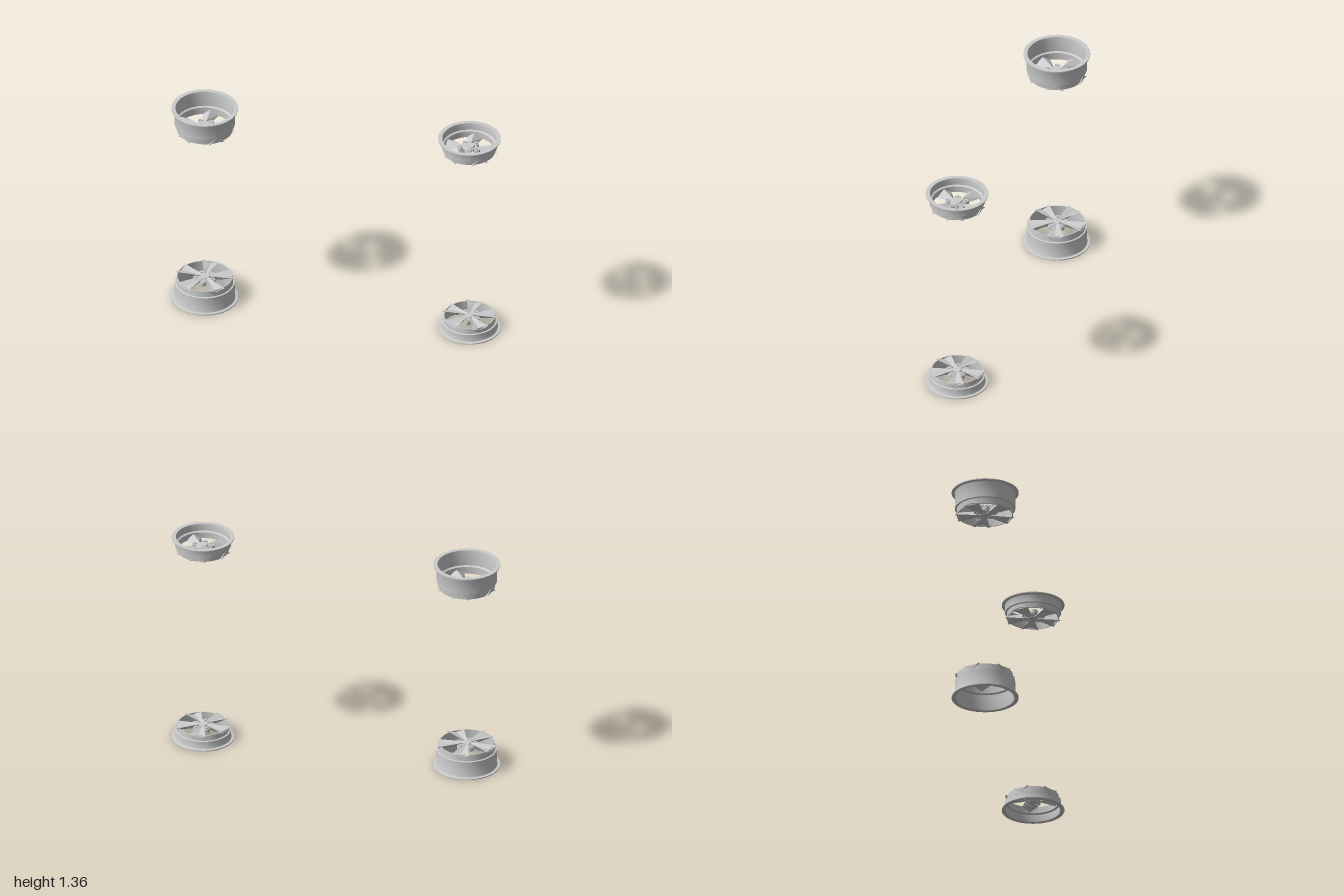
import * as THREE from 'three';
import { toCreasedNormals } from 'three/addons/utils/BufferGeometryUtils.js';

const grey = new THREE.MeshStandardMaterial({ color: 0xcccccc, side: THREE.DoubleSide });
const SPOKES = 5;

function part(name, geometry, x = 0, y = 0, z = 0) {
  const mesh = new THREE.Mesh(geometry, grey);
  mesh.name = name;
  mesh.position.set(x, y, z);
  return mesh;
}

// Thin-walled stepped rim with an outward flange at y = 0
function rimGeometry(R, step, h) {
  const wall = R - 0.02, neck = R - 0.03;
  const profile = [
    [wall - 0.005, 0], [R, 0], [R, 0.006], [wall + 0.003, 0.008], [wall, 0.014],
    [wall, step], [neck, step + 0.002], [neck - 0.003, h - 0.002],
    [neck - 0.008, h - 0.002], [neck - 0.008, step - 0.004],
    [wall - 0.007, step - 0.01], [wall - 0.007, 0.014], [wall - 0.005, 0],
  ].map(([r, y]) => new THREE.Vector2(r, y));
  return toCreasedNormals(new THREE.LatheGeometry(profile, 64), 0.5);
}

// Fan-shaped spoke along +z: shallow groove in front, deep V ridge behind
function spokeGeometry(outer, h) {
  const stations = [
    // radius, half width, groove, ridge depth
    [0.02, 0.012, 0.006, 0.026],
    [0.06, 0.021, 0.008, 0.03],
    [outer, 0.053, 0.012, 0.036],
  ];
  const pos = [], idx = [];
  for (const [r, w, groove, ridge] of stations) {
    pos.push(-w, h, r, 0, h - groove, r, w, h, r, 0, h - ridge, r);
  }
  for (let s = 0; s < stations.length - 1; s++) {
    for (let i = 0; i < 4; i++) {
      const a = s * 4 + i, b = s * 4 + (i + 1) % 4;
      idx.push(a, a + 4, b, b, a + 4, b + 4);
    }
  }
  const e = (stations.length - 1) * 4;
  idx.push(e + 3, e + 2, e + 1, e + 3, e + 1, e, 0, 1, 2 + 1, 1, 2, 3);
  const g = new THREE.BufferGeometry();
  g.setAttribute('position', new THREE.Float32BufferAttribute(pos, 3));
  g.setIndex(idx);
  const flat = g.toNonIndexed();
  flat.computeVertexNormals();
  return flat;
}

// One wheel lying on its flange, with the spoked face upwards
function createWheel(R, step, h) {
  const wheel = new THREE.Group();
  wheel.add(part('rim', rimGeometry(R, step, h)));

  const spoke = spokeGeometry(R - 0.028, h);
  const boss = new THREE.CylinderGeometry(0.019, 0.019, 0.022, 20);
  const ring = new THREE.TorusGeometry(0.015, 0.003, 8, 20).rotateX(Math.PI / 2);
  const nut = new THREE.CylinderGeometry(0.008, 0.008, 0.034, 6);
  for (let i = 0; i < SPOKES; i++) {
    const angle = (i / SPOKES) * Math.PI * 2;
    const arm = part('spoke', spoke);
    arm.rotation.y = Math.PI + angle;
    wheel.add(arm);

    // Lug seats sit between the spokes
    const lug = new THREE.Group();
    lug.name = 'lug';
    lug.add(
      part('lugBoss', boss, 0, h - 0.019, 0.053),
      part('lugRingFront', ring, 0, h - 0.008, 0.053),
      part('lugRingBack', ring, 0, h - 0.03, 0.053),
      part('lugNut', nut, 0, h - 0.019, 0.053),
    );
    lug.rotation.y = angle;
    wheel.add(lug);
  }

  // Central hub and its cap
  wheel.add(part('hub', new THREE.CylinderGeometry(0.042, 0.042, 0.026, 32), 0, h - 0.02, 0));
  wheel.add(part('hubCap', new THREE.CylinderGeometry(0.026, 0.03, 0.008, 10), 0, h - 0.004, 0));
  wheel.add(part('hubBack', new THREE.CylinderGeometry(0.034, 0.028, 0.01, 10), 0, h - 0.037, 0));
  return wheel;
}

export function createModel() {
  const model = new THREE.Group();
  const top = 1.355;
  const sizes = [
    { name: 'wideWheel', R: 0.2, step: 0.11, h: 0.153, x: -0.8, z: 0 },
    { name: 'narrowWheel', R: 0.187, step: 0.055, h: 0.092, x: 0.813, z: -0.018 },
  ];
  for (const { name, R, step, h, x, z } of sizes) {
    const lower = createWheel(R, step, h);
    lower.name = name + 'Lower';
    lower.position.set(x, 0, z);

    // The upper wheel is turned over, face down
    const upper = createWheel(R, step, h);
    upper.name = name + 'Upper';
    upper.position.set(x, top, z);
    upper.rotation.z = Math.PI;
    model.add(lower, upper);
  }
  return model;
}
